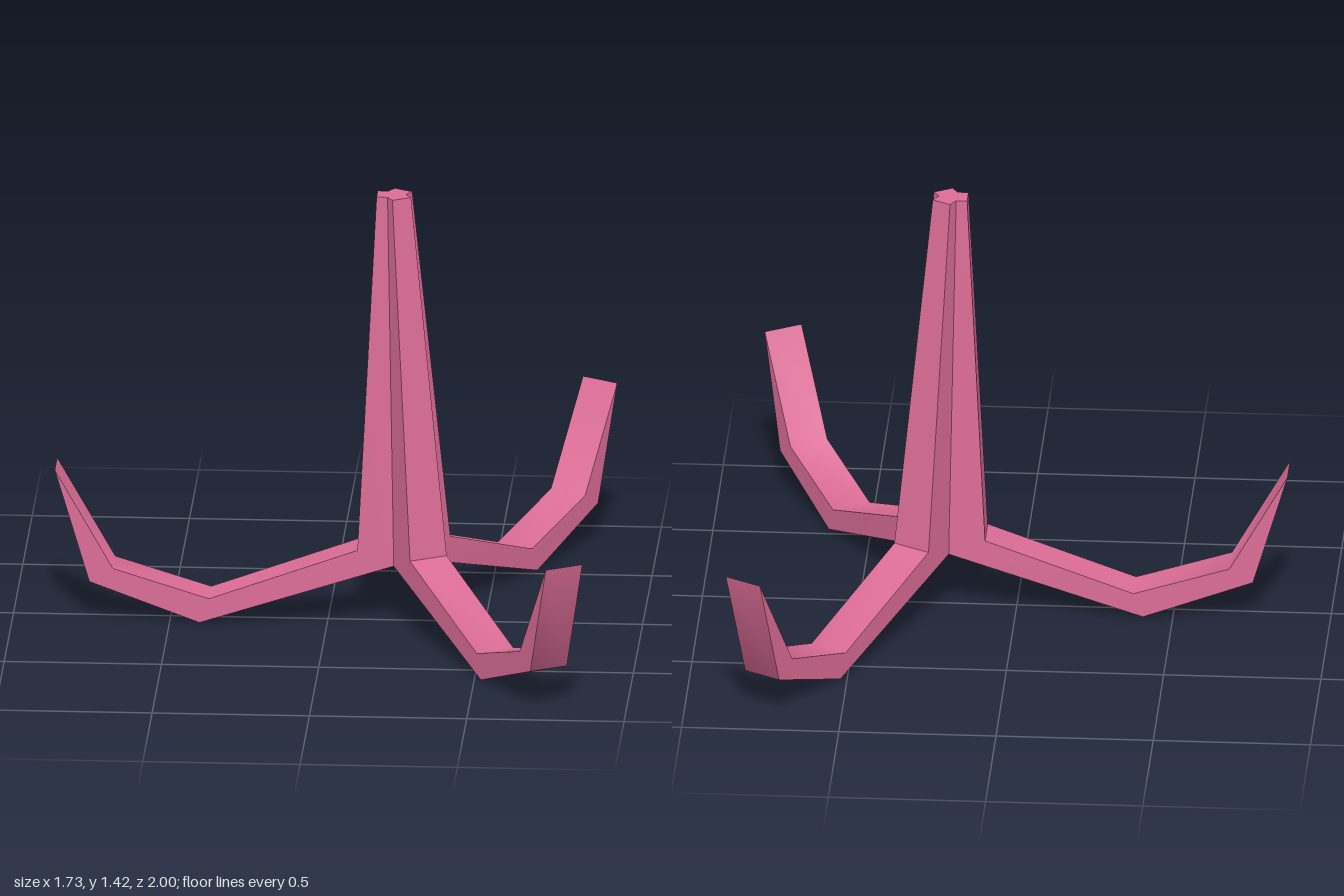
import * as THREE from 'three';
import { toCreasedNormals } from 'three/addons/utils/BufferGeometryUtils.js';

const HUB_X = 0.25;      // centre of the three arms
const POST_TOP_X = 0.21; // the post leans slightly
const W = 0.065;         // half width of an arm
const W_TOP = 0.033;     // half width at the post top

// Stations from the post top down to the hub and out to the hook tip.
// inner/lower edge and outer/upper edge as [radius, height]
const STATIONS = [
  { cx: POST_TOP_X, w: W_TOP, low: [W_TOP / Math.sqrt(3), 1.42], up: [0.054, 1.42] },
  { cx: HUB_X, w: W, low: [W / Math.sqrt(3), 0.2], up: [0.153, 0.25] },
  { cx: HUB_X, w: W, low: [0.655, 0], up: [0.625, 0.08] },
  { cx: HUB_X, w: W, low: [1.005, 0.13], up: [0.93, 0.175] },
  { cx: HUB_X, w: W, low: [1.115, 0.5], up: [1.115, 0.5] },
];

// One third of the post with its hooked arm
function armGeometry(angle) {
  const c = Math.cos(angle), s = Math.sin(angle);
  const place = (cx, [r, y], side) =>
    new THREE.Vector3(cx + r * c - side * s, y, r * s + side * c);
  const rings = STATIONS.map(({ cx, w, low, up }) => ({
    lowL: place(cx, low, w), lowR: place(cx, low, -w),
    upL: place(cx, up, w), upR: place(cx, up, -w),
  }));

  const points = [];
  const tri = (...p) => points.push(...p);
  const quad = (a, b, c2, d) => {
    if (!b.equals(c2)) tri(a, b, c2);
    tri(a, c2, d);
  };

  for (let i = 0; i < rings.length - 1; i++) {
    const p = rings[i], q = rings[i + 1];
    quad(p.upL, q.upL, q.upR, p.upR);                  // upper surface
    quad(p.lowL, q.lowL, q.upL, p.upL);                // sides
    quad(p.upR, q.upR, q.lowR, p.lowR);
    if (i > 0) quad(p.lowR, q.lowR, q.lowL, p.lowL);   // underside
  }

  // Post top and hub underside, each closed to the centre
  const [top, hub] = rings;
  quad(top.lowL, top.upL, top.upR, top.lowR);
  tri(place(POST_TOP_X, [0, 1.42], 0), top.lowL, top.lowR);
  tri(place(HUB_X, [0, 0.2], 0), hub.lowR, hub.lowL);

  const geometry = new THREE.BufferGeometry().setFromPoints(points);
  return toCreasedNormals(geometry, 1.0);
}

export function createModel() {
  const model = new THREE.Group();
  model.name = 'threeArmedHook';
  const material = new THREE.MeshStandardMaterial({ color: 0xdb6c96 });
  const arms = { rightArm: Math.PI, frontLeftArm: Math.PI / 3, backLeftArm: -Math.PI / 3 };
  for (const [name, angle] of Object.entries(arms)) {
    const arm = new THREE.Mesh(armGeometry(angle), material);
    arm.name = name;
    model.add(arm);
  }
  return model;
}
